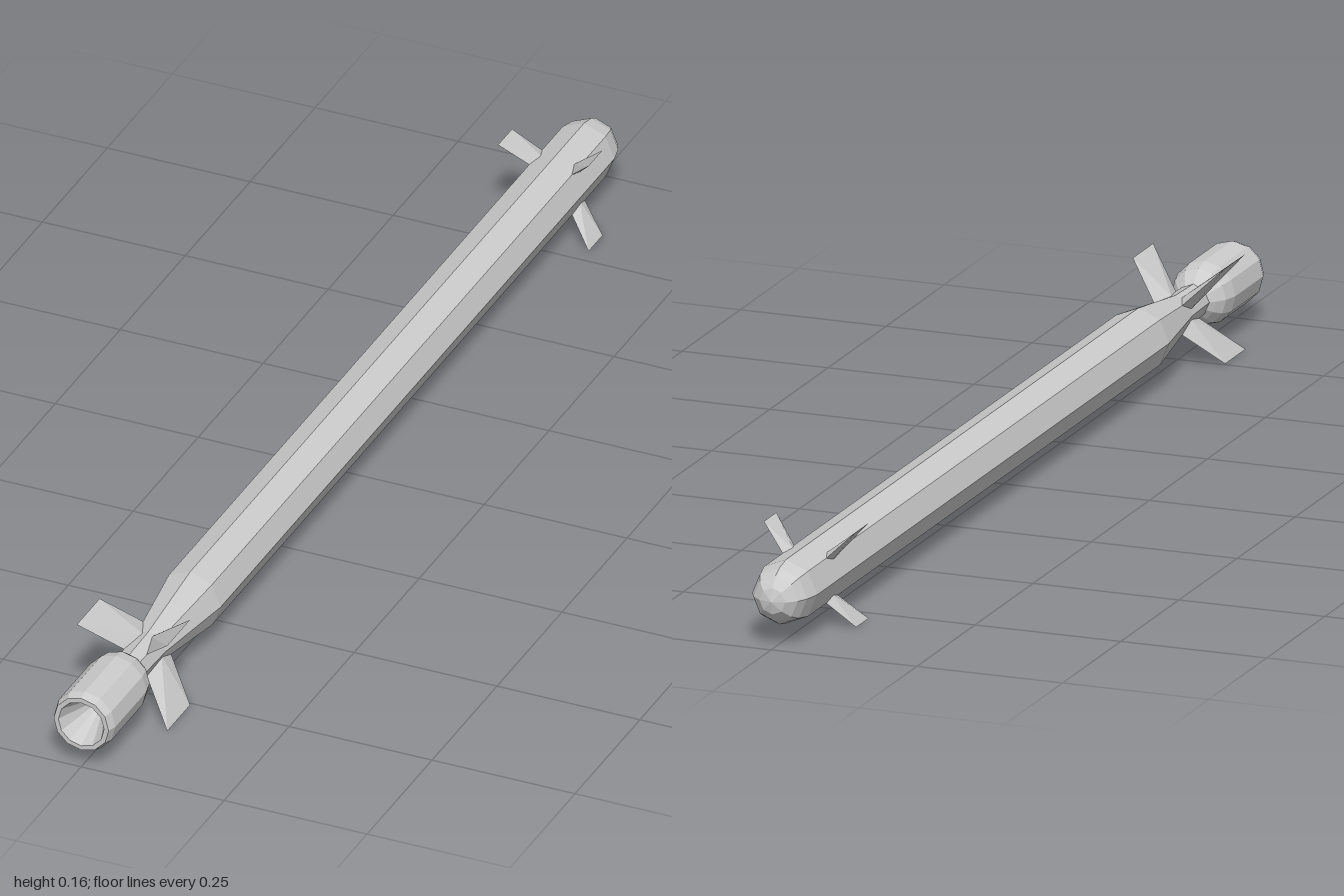
import * as THREE from 'three';

const AXIS_HEIGHT = 0.08;
const material = new THREE.MeshStandardMaterial({ color: 0xcccccc, flatShading: true });

// Faceted solid of revolution along z; profile is [radius, z] with z rising on outer faces.
function turned(name, profile, sides) {
  const points = profile.map(([r, z]) => new THREE.Vector2(r, z));
  const geometry = new THREE.LatheGeometry(points, sides);
  geometry.rotateX(Math.PI / 2);
  const mesh = new THREE.Mesh(geometry, material);
  mesh.name = name;
  return mesh;
}

// Swept fin with a diamond root that thins to a sharp tip edge.
function finGeometry({ rootR, tipR, rootZ, tipZ, half }) {
  const mid = (rootZ[0] + rootZ[1]) / 2;
  const lead = [0, rootR, rootZ[0]];
  const trail = [0, rootR, rootZ[1]];
  const tipLead = [0, tipR, tipZ[0]];
  const tipTrail = [0, tipR, tipZ[1]];
  const corners = [];
  for (const side of [1, -1]) {
    const ridge = [side * half, rootR, mid];
    const faces = [[trail, ridge, tipTrail], [ridge, tipLead, tipTrail], [ridge, lead, tipLead]];
    for (const face of faces) corners.push(...(side > 0 ? face : face.reverse()));
  }
  const geometry = new THREE.BufferGeometry();
  geometry.setAttribute('position', new THREE.Float32BufferAttribute(corners.flat(), 3));
  geometry.computeVertexNormals();
  return geometry;
}

// Four fins set diagonally around the axis.
function finSet(name, size) {
  const group = new THREE.Group();
  group.name = name;
  const geometry = finGeometry(size);
  for (let i = 0; i < 4; i++) {
    const fin = new THREE.Mesh(geometry, material);
    fin.name = 'fin';
    fin.rotation.z = Math.PI / 4 + (i * Math.PI) / 2;
    group.add(fin);
  }
  return group;
}

export function createModel() {
  const model = new THREE.Group();
  model.name = 'missile';

  // Eight-sided body: domed nose, long barrel, taper to the narrow neck
  const body = turned('body', [
    [0, -1], [0.022, -0.994], [0.038, -0.98], [0.047, -0.963], [0.053, -0.935],
    [0.053, 0.58], [0.03, 0.74], [0.027, 0.84],
  ], 8);

  // Twelve-sided tail with a hollow conical nozzle
  const tail = turned('tailNozzle', [
    [0.026, 0.815], [0.036, 0.825], [0.047, 0.84], [0.053, 0.865],
    [0.053, 0.985], [0.048, 1], [0.04, 1], [0, 0.9],
  ], 12);

  const noseFins = finSet('noseFins', {
    rootR: 0.045, tipR: 0.112, rootZ: [-0.859, -0.81], tipZ: [-0.832, -0.778], half: 0.008,
  });
  const tailFins = finSet('tailFins', {
    rootR: 0.022, tipR: 0.112, rootZ: [0.7, 0.788], tipZ: [0.755, 0.843], half: 0.012,
  });

  model.add(body, tail, noseFins, tailFins);
  for (const part of model.children) part.position.y = AXIS_HEIGHT;
  return model;
}
